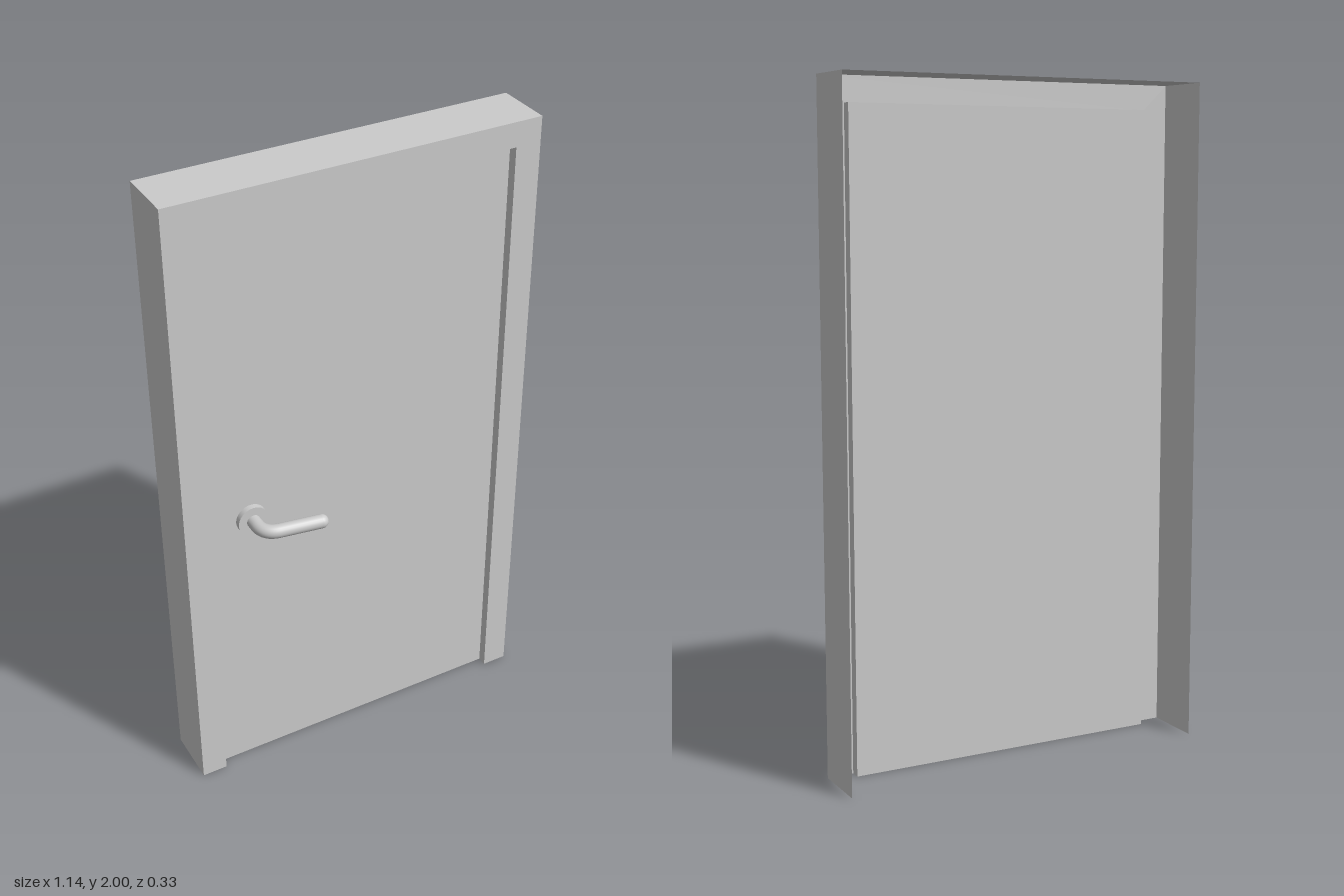
import * as THREE from 'three';

const grey = new THREE.MeshStandardMaterial({ color: 0xcccccc });
const sheet = new THREE.MeshStandardMaterial({ color: 0xcccccc, side: THREE.DoubleSide });

const FRONT = 0.013, BACK = -0.167, DOOR_Z = -0.017;
const outer = { half: 0.57, top: 2 };
const opening = { half: 0.49, top: 1.925 };

function add(parent, name, geometry, material, x = 0, y = 0, z = 0) {
  const mesh = new THREE.Mesh(geometry, material);
  mesh.name = name;
  mesh.position.set(x, y, z);
  parent.add(mesh);
  return mesh;
}

// Two upright sheets and a head sheet, running in depth from z0 to z1
function portal(name, { half, top }, z0, z1) {
  const group = new THREE.Group();
  group.name = name;
  const depth = z1 - z0, z = (z0 + z1) / 2;
  for (const side of [-1, 1]) {
    const jamb = add(group, side > 0 ? 'leftJamb' : 'rightJamb',
      new THREE.PlaneGeometry(depth, top), sheet, side * half, top / 2, z);
    jamb.rotation.y = side * Math.PI / 2;
  }
  const head = add(group, 'head', new THREE.PlaneGeometry(2 * half, depth), sheet, 0, top, z);
  head.rotation.x = -Math.PI / 2;
  return group;
}

export function createModel() {
  const model = new THREE.Group();
  model.name = 'door';

  // Frame: flat face around the opening, outer casing and shallow reveal
  const frame = new THREE.Group();
  frame.name = 'frame';
  const { half: W, top: H } = outer, { half: w, top: h } = opening;
  const face = new THREE.Shape([
    [-W, 0], [-w, 0], [-w, h], [w, h], [w, 0], [W, 0], [W, H], [-W, H],
  ].map(([x, y]) => new THREE.Vector2(x, y)));
  add(frame, 'frameFace', new THREE.ShapeGeometry(face), sheet, 0, 0, FRONT);
  frame.add(portal('casing', outer, BACK, FRONT), portal('reveal', opening, DOOR_Z, FRONT));
  model.add(frame);

  // Door leaf, set back in the opening
  add(model, 'doorLeaf', new THREE.PlaneGeometry(2 * w, h), sheet, 0, h / 2, DOOR_Z);

  // Handle: round rose, bent lever and rounded tip
  const handle = new THREE.Group();
  handle.name = 'handle';
  handle.position.set(-0.37, 0.977, 0);
  const rose = add(handle, 'rose', new THREE.CylinderGeometry(0.047, 0.047, 0.018, 32), grey, 0, 0, 0.041);
  rose.rotation.x = Math.PI / 2;

  const point = (x, z) => new THREE.Vector3(x, 0, z);
  const path = new THREE.CurvePath();
  path.add(new THREE.LineCurve3(point(0, 0.045), point(0, 0.075)));
  path.add(new THREE.QuadraticBezierCurve3(point(0, 0.075), point(0.002, 0.117), point(0.045, 0.124)));
  path.add(new THREE.LineCurve3(point(0.045, 0.124), point(0.17, 0.144)));
  add(handle, 'lever', new THREE.TubeGeometry(path, 40, 0.021, 20), grey);
  add(handle, 'leverTip', new THREE.SphereGeometry(0.021, 20, 14), grey, 0.17, 0, 0.144);
  model.add(handle);

  return model;
}
